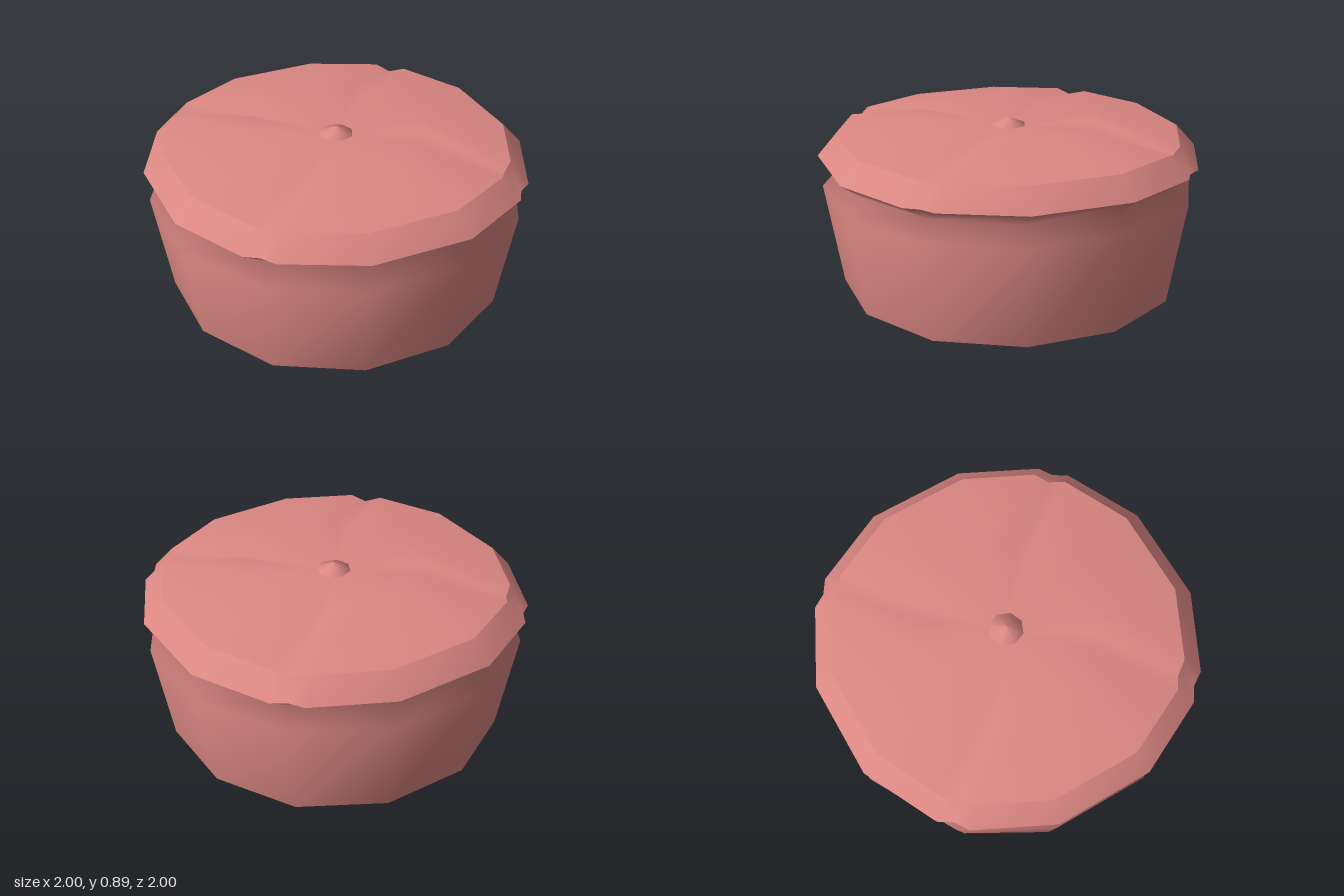
import * as THREE from 'three';
import { mergeVertices } from 'three/addons/utils/BufferGeometryUtils.js';

// One closed 20-point ring: a twelve-sided outline whose four axis corners are pinched.
// h is half the pinch width, notchR and notchY place the pinch itself.
function ring(r, y, h = 0, notchR = r, notchY = y) {
  const quarter = [
    [0, notchY, notchR], [h, y, r], [r * 0.495, y, r * 0.861],
    [r * 0.861, y, r * 0.495], [r, y, h],
  ];
  const points = [];
  for (let q = 0; q < 4; q++) {
    const c = Math.round(Math.cos(q * Math.PI / 2));
    const s = Math.round(Math.sin(q * Math.PI / 2));
    for (const [x, py, z] of quarter) points.push([x * c + z * s, py, z * c - x * s]);
  }
  return points;
}

// Smooth skin through rings listed from bottom to top (or from outside to centre).
function loft(rings) {
  const n = rings[0].length;
  const index = [];
  for (let i = 0; i < rings.length - 1; i++) {
    for (let j = 0; j < n; j++) {
      const k = (j + 1) % n;
      const a = i * n + j, b = i * n + k, c = a + n, d = b + n;
      index.push(a, b, d, a, d, c);
    }
  }
  let geometry = new THREE.BufferGeometry();
  geometry.setAttribute('position', new THREE.Float32BufferAttribute(rings.flat(2), 3));
  geometry.setIndex(index);
  geometry = mergeVertices(geometry, 1e-4);
  geometry.computeVertexNormals();
  return geometry;
}

export function createModel() {
  const group = new THREE.Group();
  const pink = new THREE.MeshStandardMaterial({ color: 0xdb8783 });
  pink.name = 'dusty pink';

  const add = (name, geometry) => {
    const mesh = new THREE.Mesh(geometry, pink);
    mesh.name = name;
    group.add(mesh);
  };

  // Flared base, narrow neck and the overhanging underside of the cushion
  const edge = ring(1, 0.705, 0.083, 0.982, 0.705);
  add('base', loft([ring(0.89, 0), ring(0.982, 0.54), ring(0.88, 0.62), edge]));
  add('bottom', loft([ring(0, 0), ring(0.89, 0)]));

  // Bevelled cushion rim
  const shoulder = ring(0.9, 0.815, 0.083, 0.888, 0.79);
  add('cushionRim', loft([edge, shoulder]));

  // Padded top with four creases running to the dimpled centre
  add('cushionTop', loft([shoulder, ring(0.45, 0.895, 0.08, 0.45, 0.865), ring(0, 0.835)]));

  // Faceted centre button
  const profile = [[0.07, 0.8], [0.09, 0.848], [0, 0.885]].map(([x, y]) => new THREE.Vector2(x, y));
  add('button', new THREE.LatheGeometry(profile, 8));

  return group;
}
